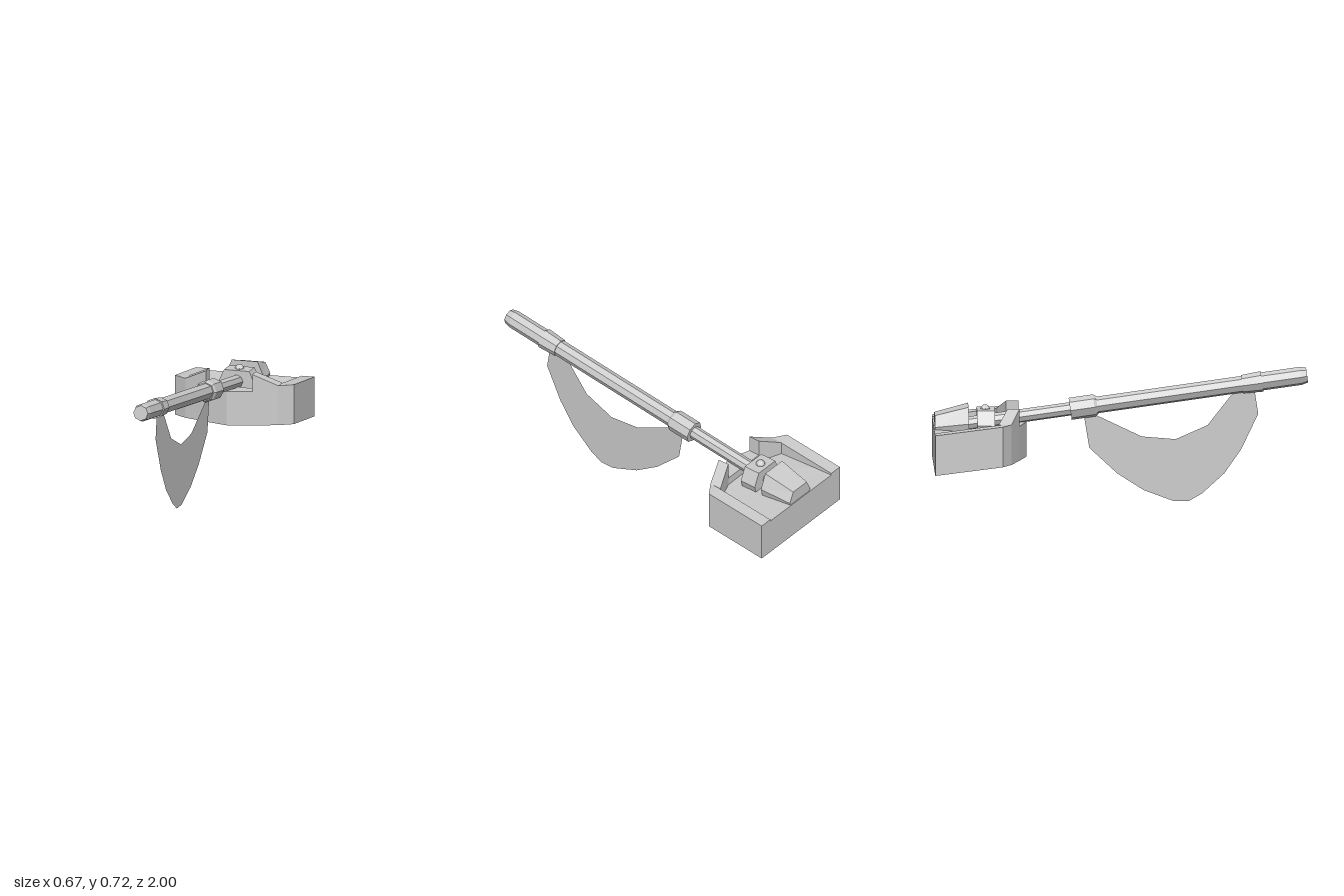
import * as THREE from 'three';

const flat = new THREE.MeshStandardMaterial({ color: 0xcccccc, flatShading: true });
const sheet = new THREE.MeshStandardMaterial({ color: 0xcccccc, side: THREE.DoubleSide });

function add(parent, name, geometry, material = flat) {
  const mesh = new THREE.Mesh(geometry, material);
  mesh.name = name;
  parent.add(mesh);
  return mesh;
}

// Prism over a plan of [x, z] points, with top and bottom heights given by rules
function planPrism(points, topY, bottomY) {
  const shape = new THREE.Shape(points.map(([x, z]) => new THREE.Vector2(x, -z)));
  const geo = new THREE.ExtrudeGeometry(shape, { depth: 1, bevelEnabled: false });
  geo.rotateX(-Math.PI / 2);
  const p = geo.attributes.position;
  for (let i = 0; i < p.count; i++) {
    const rule = p.getY(i) > 0.5 ? topY : bottomY;
    p.setY(i, rule(p.getX(i), p.getZ(i)));
  }
  geo.computeVertexNormals();
  return geo;
}

// Extruded [x, y] profile running from z0 to z1
function profileBlock(points, z0, z1) {
  const shape = new THREE.Shape(points.map(([x, y]) => new THREE.Vector2(x, y)));
  return new THREE.ExtrudeGeometry(shape, { depth: z1 - z0, bevelEnabled: false }).translate(0, 0, z0);
}

export function createModel() {
  const model = new THREE.Group();
  model.name = 'mountedPole';

  // Sloping eight-sided pole: [name, from, to, radius at from, radius at to]
  const pole = new THREE.Group();
  pole.name = 'pole';
  pole.position.y = 0.54;
  pole.rotation.x = -Math.atan(0.14);
  model.add(pole);
  const sections = [
    ['innerShaft', -0.86, -0.26, 0.036, 0.036],
    ['rearCollar', -0.275, -0.145, 0.06, 0.06],
    ['rearCollarLip', -0.145, -0.13, 0.06, 0.05],
    ['mainShaft', -0.14, 0.66, 0.045, 0.045],
    ['frontCollar', 0.65, 0.757, 0.05, 0.056],
    ['grip', 0.75, 0.965, 0.049, 0.049],
    ['tip', 0.965, 1.0, 0.049, 0.041],
  ];
  for (const [name, a, b, ra, rb] of sections) {
    const geo = new THREE.CylinderGeometry(rb, ra, b - a, 8);
    geo.rotateX(Math.PI / 2).translate(0, 0, (a + b) / 2);
    add(pole, name, geo);
  }

  // Flat hanging cloth under the pole, as [z, y]
  const cloth = [
    [0.71, 0.6], [0.73, 0.47], [0.64, 0.28], [0.55, 0.15], [0.43, 0.04], [0.36, 0], [0.28, 0],
    [0.12, 0.06], [-0.02, 0.15], [-0.17, 0.29], [-0.2, 0.47], [-0.14, 0.47], [0.11, 0.35],
    [0.29, 0.335], [0.46, 0.41], [0.6, 0.59],
  ];
  const clothShape = new THREE.Shape(cloth.map(([z, y]) => new THREE.Vector2(-z, y)));
  add(model, 'hangingCloth', new THREE.ShapeGeometry(clothShape).rotateY(Math.PI / 2), sheet);

  // Base with pointed front and sloping floor
  const base = new THREE.Group();
  base.name = 'base';
  model.add(base);
  const underside = (x, z) => 0.245 - 0.125 * Math.max(0, -0.64 - z);
  const low = () => 0.3;
  add(base, 'floor', planPrism(
    [[-0.333, -1], [-0.333, -0.64], [-0.26, -0.592], [-0.13, -0.545], [0, -0.505],
      [0.13, -0.545], [0.26, -0.592], [0.333, -0.64], [0.333, -1]],
    (x, z) => 0.385 + 0.06 * Math.max(0, -0.64 - z), underside));
  add(base, 'frontSill', planPrism(
    [[-0.13, -0.545], [0, -0.505], [0.13, -0.545], [0.13, -0.61], [-0.13, -0.61]],
    () => 0.432, low));

  // Raised rim on each side
  for (const s of [1, -1]) {
    const side = s > 0 ? 'left' : 'right';
    const mirror = (pts) => pts.map(([x, z]) => [s * x, z]);
    add(base, side + 'Rim', planPrism(
      mirror([[0.26, -0.592], [0.333, -0.64], [0.333, -1], [0.26, -1], [0.26, -0.66]]),
      (x, z) => 0.462 - 0.125 * Math.max(0, -0.64 - z), low));
    add(base, side + 'Cheek', planPrism(
      mirror([[0.13, -0.545], [0.26, -0.592], [0.26, -0.66], [0.13, -0.61]]),
      (x) => (Math.abs(x) < 0.2 ? 0.525 : 0.462), low));
  }

  // Clamp around the shaft, with a knob on top
  add(base, 'clamp', profileBlock(
    [[-0.09, 0.38], [0.09, 0.38], [0.105, 0.43], [0.07, 0.505], [-0.07, 0.505], [-0.105, 0.43]],
    -0.77, -0.675));
  const knob = add(base, 'knob', new THREE.SphereGeometry(0.026, 10, 8));
  knob.position.set(0, 0.502, -0.725);

  // Tapered rear block, smaller and lower toward the back
  const rear = profileBlock(
    [[-0.09, 0.37], [0.09, 0.37], [0.108, 0.44], [0.072, 0.525], [-0.072, 0.525], [-0.108, 0.44]],
    -0.995, -0.815);
  const p = rear.attributes.position;
  for (let i = 0; i < p.count; i++) {
    if (p.getZ(i) > -0.9) continue;
    p.setX(i, p.getX(i) * 0.8);
    p.setY(i, 0.37 + (p.getY(i) - 0.37) * 0.7);
  }
  rear.computeVertexNormals();
  add(base, 'rearBlock', rear);

  return model;
}
